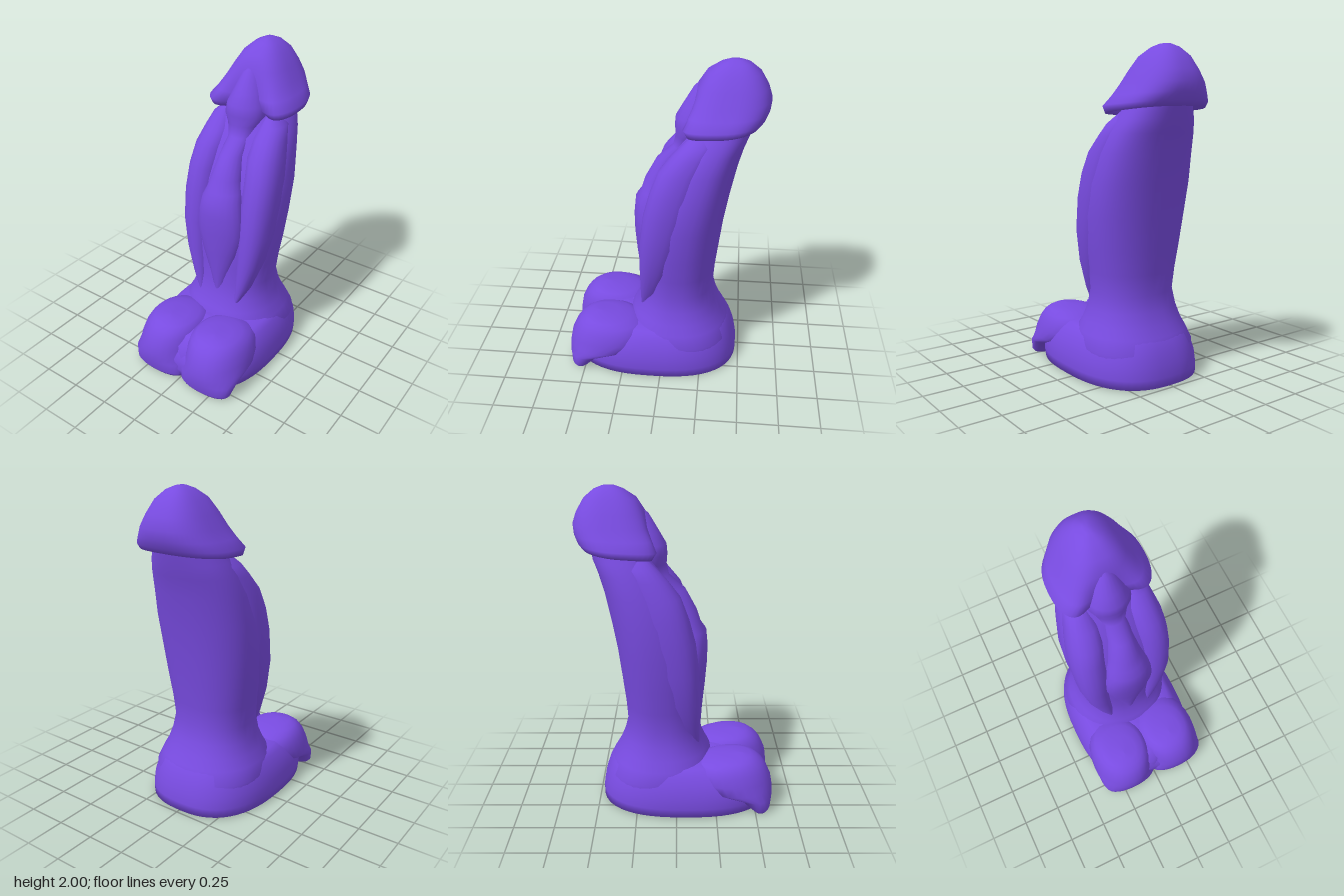
import * as THREE from 'three';

const violet = new THREE.MeshStandardMaterial({ color: 0x784be0 });
violet.name = 'violet';

// Lofts closed rings, bottom to top. Row: [y, zFront, zBack, halfWidth, centreX = 0].
// power > 2 makes the section boxier; adjust(v, angle, t) can reshape each point.
function loft(name, rows, { sides = 32, power = 2, adjust } = {}) {
  const pos = [], index = [], v = new THREE.Vector3();
  const round = (c) => Math.sign(c) * Math.pow(Math.abs(c), 2 / power);
  rows.forEach(([y, zf, zb, hx, cx = 0], r) => {
    for (let i = 0; i < sides; i++) {
      const a = (i / sides) * Math.PI * 2;
      v.set(cx + hx * round(Math.sin(a)), y, (zf + zb) / 2 + ((zf - zb) / 2) * round(Math.cos(a)));
      if (adjust) adjust(v, a, r / (rows.length - 1));
      pos.push(v.x, v.y, v.z);
      if (r === rows.length - 1) continue;
      const n = (i + 1) % sides, p = r * sides;
      index.push(p + i, p + n, p + n + sides, p + i, p + n + sides, p + i + sides);
    }
  });
  const g = new THREE.BufferGeometry();
  g.setAttribute('position', new THREE.Float32BufferAttribute(pos, 3));
  g.setIndex(index);
  g.computeVertexNormals();
  const mesh = new THREE.Mesh(g, violet);
  mesh.name = name;
  return mesh;
}

export function createModel() {
  const model = new THREE.Group();
  model.name = 'model';

  // Broad base with a hollow underside and a notch at the front
  model.add(loft('base', [
    [0.12, 0.05, 0.05, 0],
    [0.115, 0.24, -0.17, 0.15],
    [0.08, 0.36, -0.3, 0.24],
    [0.02, 0.43, -0.37, 0.3],
    [0.0, 0.5, -0.43, 0.35],
    [0.005, 0.595, -0.48, 0.398],
    [0.06, 0.605, -0.48, 0.402],
    [0.13, 0.6, -0.468, 0.397],
    [0.2, 0.565, -0.445, 0.375],
    [0.26, 0.48, -0.415, 0.342],
    [0.29, 0.38, -0.39, 0.31],
    [0.305, 0.26, -0.34, 0.25],
    [0.305, 0, 0, 0],
  ], {
    sides: 56, power: 2.55,
    adjust(v, a) { v.z -= 0.045 * Math.pow(Math.max(0, Math.cos(a)), 60); },
  }));

  // Curved shaft flaring into the base
  model.add(loft('shaft', [
    [0.13, 0.2, -0.44, 0.35],
    [0.2, 0.25, -0.445, 0.365],
    [0.28, 0.235, -0.405, 0.335],
    [0.34, 0.2, -0.37, 0.303],
    [0.42, 0.165, -0.338, 0.275],
    [0.52, 0.145, -0.313, 0.257],
    [0.65, 0.14, -0.322, 0.272],
    [0.8, 0.14, -0.34, 0.296],
    [1.0, 0.12, -0.365, 0.317],
    [1.2, 0.06, -0.4, 0.32],
    [1.38, -0.01, -0.438, 0.296],
    [1.5, -0.09, -0.472, 0.268],
    [1.58, -0.13, -0.503, 0.235],
    [1.72, -0.2, -0.53, 0.17],
  ], { sides: 40, power: 2.25 }));

  // Spindle ridge down the front, widening again under the cap
  model.add(loft('frontRidge', [
    [0.36, 0.15, 0.05, 0.01],
    [0.45, 0.155, 0.04, 0.035],
    [0.6, 0.165, 0.03, 0.08],
    [0.75, 0.18, 0.02, 0.13],
    [0.9, 0.192, 0.0, 0.165],
    [1.02, 0.195, 0.0, 0.155],
    [1.12, 0.185, -0.02, 0.135],
    [1.17, 0.15, -0.04, 0.12],
    [1.25, 0.125, -0.06, 0.1],
    [1.38, 0.055, -0.12, 0.078],
    [1.47, -0.045, -0.18, 0.078],
    [1.54, -0.06, -0.24, 0.105],
    [1.6, -0.055, -0.28, 0.135],
    [1.66, -0.06, -0.3, 0.125],
    [1.73, -0.1, -0.32, 0.1],
    [1.84, -0.165, -0.34, 0.06],
    [1.9, -0.24, -0.36, 0.015],
  ], { sides: 20 }));

  // Rounded cap: tilted rim, tucked underside and two flaps parted at the front
  model.add(loft('cap', [
    [1.7, -0.2, -0.5, 0.16],
    [1.64, -0.13, -0.53, 0.22],
    [1.595, -0.06, -0.56, 0.288],
    [1.64, -0.035, -0.585, 0.296],
    [1.7, -0.075, -0.605, 0.255],
    [1.77, -0.125, -0.612, 0.218],
    [1.85, -0.175, -0.59, 0.176],
    [1.93, -0.235, -0.545, 0.127],
    [1.98, -0.31, -0.485, 0.07],
    [2.0, -0.36, -0.435, 0.025],
    [2.0, -0.4, -0.4, 0],
  ], {
    sides: 48, power: 2.5,
    adjust(v, a, t) {
      const fade = Math.max(0, 1 - t * 1.6);
      v.y += 0.085 * fade * (1 - Math.cos(a)) / 2;
      v.z -= 0.25 * fade * Math.pow(Math.max(0, Math.cos(a)), 6);
    },
  }));

  for (const s of [1, -1]) {
    // Long side bundles beside the front ridge
    model.add(loft(s > 0 ? 'leftBundle' : 'rightBundle', [
      [0.4, 0.145, 0.09, 0.015, 0.14 * s],
      [0.52, 0.145, 0.02, 0.05, 0.165 * s],
      [0.7, 0.145, -0.05, 0.08, 0.195 * s],
      [0.9, 0.14, -0.11, 0.1, 0.212 * s],
      [1.1, 0.115, -0.17, 0.11, 0.212 * s],
      [1.25, 0.075, -0.21, 0.11, 0.208 * s],
      [1.38, 0.025, -0.25, 0.108, 0.192 * s],
      [1.48, -0.055, -0.29, 0.095, 0.178 * s],
      [1.55, -0.12, -0.31, 0.075, 0.175 * s],
      [1.62, -0.19, -0.31, 0.03, 0.15 * s],
    ], { sides: 18, power: 2.2 }));

    // Paired round lobes at the front, thinning to a lip around the hollow
    model.add(loft(s > 0 ? 'leftLobe' : 'rightLobe', [
      [0.0, 0.5, 0.5, 0, 0.175 * s],
      [0.0, 0.595, 0.47, 0.17, 0.178 * s],
      [0.02, 0.607, 0.45, 0.185, 0.182 * s],
      [0.09, 0.615, 0.37, 0.2, 0.185 * s],
      [0.14, 0.613, 0.15, 0.207, 0.185 * s],
      [0.2, 0.602, 0.1, 0.205, 0.18 * s],
      [0.26, 0.575, 0.1, 0.192, 0.175 * s],
      [0.3, 0.545, 0.14, 0.172, 0.17 * s],
      [0.325, 0.51, 0.21, 0.14, 0.17 * s],
      [0.34, 0.475, 0.29, 0.09, 0.172 * s],
      [0.346, 0.42, 0.4, 0, 0.175 * s],
    ], { sides: 28, power: 2.15 }));
  }

  // Saddle filling the gap between the lobes and the shaft
  model.add(loft('saddle', [
    [0.13, 0.55, 0.05, 0.2],
    [0.22, 0.53, 0.05, 0.22],
    [0.275, 0.47, 0.05, 0.24],
    [0.298, 0.38, 0.06, 0.22],
    [0.306, 0.25, 0.25, 0],
  ], { sides: 24 }));

  return model;
}
